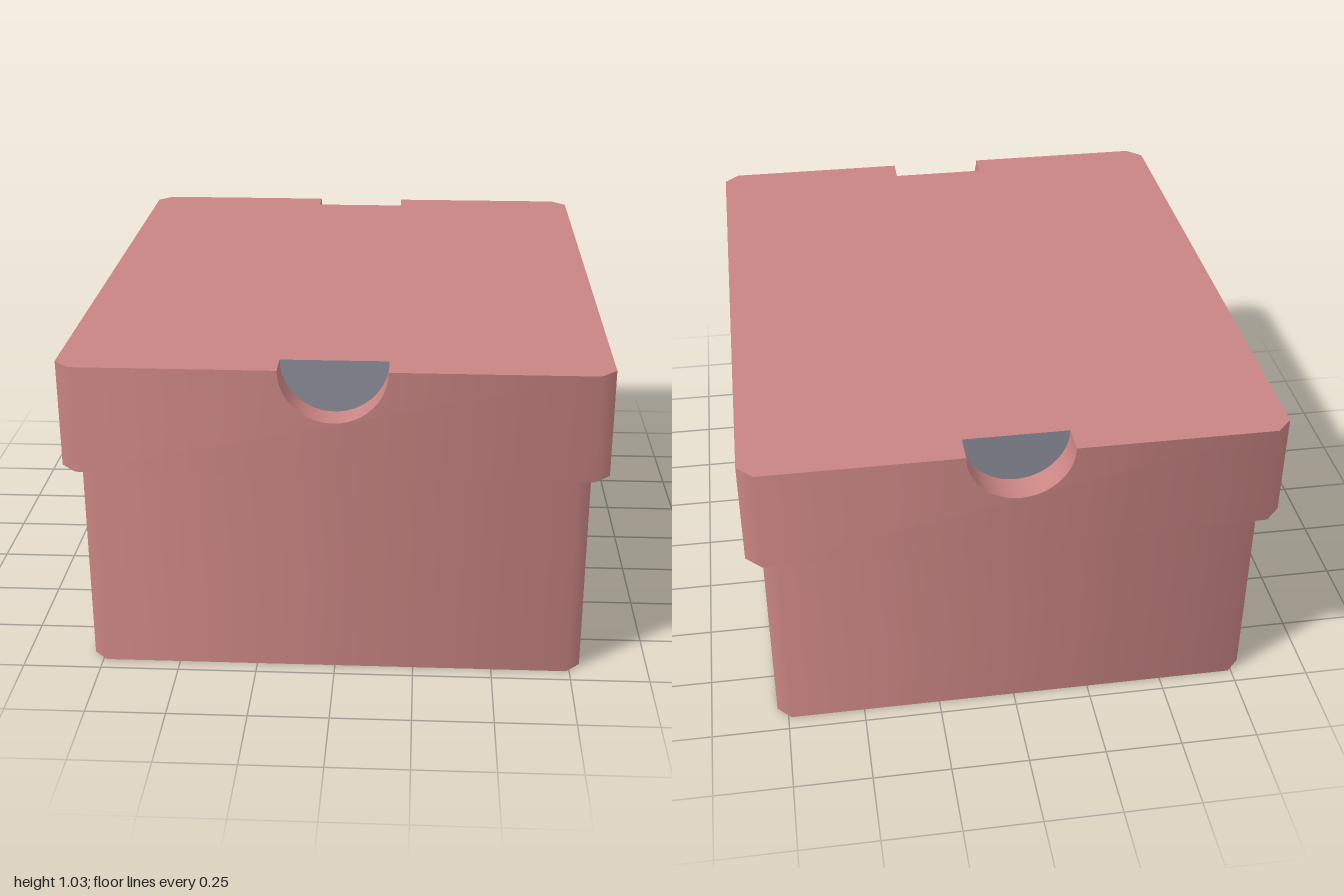
import * as THREE from 'three';

const TOP = 1.03, RIM = 0.69;      // lid top and lid lower edge
const R = 0.165, DEPTH = 0.095;    // thumb notch radius and depth
const BEVEL = Math.PI / 8;         // half the turn at each bevelled corner edge

// Rectangle with cut corners, as [x, z], starting at the front left
function outline(x, z, c) {
  return [[c - x, z], [x - c, z], [x, z - c], [x, c - z],
    [x - c, -z], [c - x, -z], [-x, c - z], [-x, z - c]];
}

// Upright walls along an outline, shaded softly around the corners
function wallGeometry(points, y0, y1, skip = []) {
  const pos = [], nor = [], idx = [];
  points.forEach(([x, z], i) => {
    const a = (2 * i - 1) * BEVEL;
    for (const y of [y0, y1]) {
      pos.push(x, y, z);
      nor.push(Math.sin(a), 0, Math.cos(a));
    }
    if (skip.includes(i)) return;
    const p = 2 * i, q = 2 * ((i + 1) % points.length);
    idx.push(p, q, q + 1, p, q + 1, p + 1);
  });
  const g = new THREE.BufferGeometry();
  g.setAttribute('position', new THREE.Float32BufferAttribute(pos, 3));
  g.setAttribute('normal', new THREE.Float32BufferAttribute(nor, 3));
  g.setIndex(idx);
  return g;
}

// Flat horizontal face filling an outline, with an optional hole
function capGeometry(points, y, up, hole) {
  const toVectors = (list) => list.map(([x, z]) => new THREE.Vector2(x, up ? -z : z));
  const shape = new THREE.Shape(toVectors(points));
  if (hole) shape.holes.push(new THREE.Path(toVectors(hole)));
  return new THREE.ShapeGeometry(shape)
    .rotateX(up ? -Math.PI / 2 : Math.PI / 2).translate(0, y, 0);
}

// Lid end wall with a half-round cut in its upper edge
function notchedWallGeometry(w, z) {
  const s = new THREE.Shape();
  s.moveTo(-w, RIM);
  s.lineTo(w, RIM);
  s.lineTo(w, TOP);
  s.lineTo(R, TOP);
  s.absarc(0, TOP, R, 0, -Math.PI, true);
  s.lineTo(-w, TOP);
  const g = new THREE.ShapeGeometry(s, 24).translate(0, 0, z);
  const pos = g.attributes.position, nor = g.attributes.normal;
  for (let i = 0; i < pos.count; i++) {
    const a = BEVEL * pos.getX(i) / w;
    nor.setXYZ(i, Math.sin(a), 0, Math.cos(a));
  }
  return g;
}

export function createModel() {
  const model = new THREE.Group();
  model.name = 'liddedBox';
  const pink = new THREE.MeshStandardMaterial({ color: 0xc98583, side: THREE.DoubleSide });
  pink.name = 'dustyPink';
  const grey = new THREE.MeshStandardMaterial({ color: 0x8d8d9a });
  grey.name = 'grey';

  const add = (parent, name, geometry, material = pink) => {
    const mesh = new THREE.Mesh(geometry, material);
    mesh.name = name;
    parent.add(mesh);
  };

  // Box body
  const body = new THREE.Group();
  body.name = 'body';
  const bodyLine = outline(0.785, 0.95, 0.045);
  add(body, 'bodyWalls', wallGeometry(bodyLine, 0, RIM));
  add(body, 'bodyBase', capGeometry(bodyLine, 0, false));

  // Lid
  const lid = new THREE.Group();
  lid.name = 'lid';
  const X = 0.835, Z = 1, C = 0.05;
  const lidLine = outline(X, Z, C);
  const recess = [[-R, Z], [-R, Z - DEPTH], [R, Z - DEPTH], [R, Z]];
  const topLine = [lidLine[0], ...recess, ...lidLine.slice(1, 5),
    ...recess.map(([x, z]) => [-x, -z]), ...lidLine.slice(5)];
  add(lid, 'lidSides', wallGeometry(lidLine, RIM, TOP, [0, 4]));
  add(lid, 'lidTop', capGeometry(topLine, TOP, true));
  add(lid, 'lidUnderside', capGeometry(lidLine, RIM, false, bodyLine));

  // Notched ends of the lid, front and back
  for (const [side, turn] of [['front', 0], ['back', Math.PI]]) {
    const end = new THREE.Group();
    end.name = side + 'End';
    end.rotation.y = turn;
    add(end, side + 'EndWall', notchedWallGeometry(X - C, Z));
    add(end, side + 'NotchFloor',
      new THREE.CylinderGeometry(R, R, DEPTH, 24, 1, true, -Math.PI / 2, Math.PI)
        .rotateX(Math.PI / 2).translate(0, TOP, Z - DEPTH / 2));
    add(end, side + 'NotchBack',
      new THREE.CircleGeometry(R, 24, Math.PI, Math.PI).translate(0, TOP, Z - DEPTH), grey);
    lid.add(end);
  }

  model.add(body, lid);
  return model;
}
